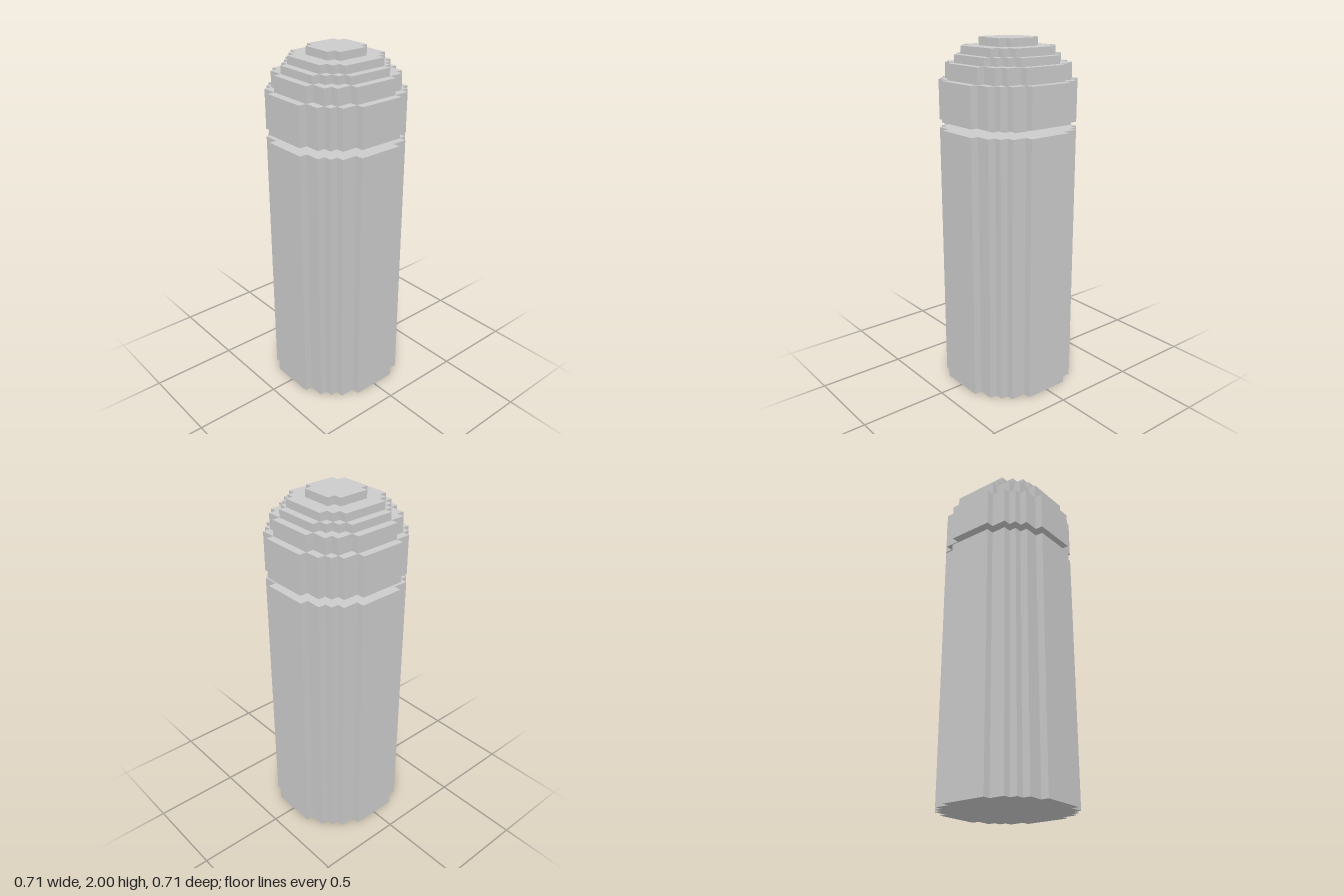
import * as THREE from 'three';

const UNIT = 2 / 45; // edge of one block; the model is 45 blocks tall

// Blocky disc outline: a circle of the given radius snapped to whole blocks
function discShape(radius) {
  const limit = (radius + 0.2) ** 2;
  const quarter = [];
  for (let row = 0; row < radius; row++) {
    let width = 0;
    while ((width + 0.5) ** 2 + (row + 0.5) ** 2 <= limit) width++;
    const last = quarter[quarter.length - 1];
    if (last && last[0] === width) last[1] = row + 1;
    else {
      if (last) quarter.push([width, row]);
      quarter.push([width, row + 1]);
    }
  }
  // Turn the quarter by 90 degrees four times; joints fall on straight edges
  const points = [];
  for (let turn = 0; turn < 4; turn++) {
    for (const [x, y] of quarter) {
      const [px, py] = [[x, y], [-y, x], [-x, -y], [y, -x]][turn];
      points.push(new THREE.Vector2(px * UNIT, py * UNIT));
    }
  }
  return new THREE.Shape(points);
}

export function createModel() {
  const group = new THREE.Group();
  const material = new THREE.MeshStandardMaterial({ color: 0xcccccc, flatShading: true });

  // Stacked layers from the ground up: name, radius and height in blocks
  const layers = [
    ['body', 8, 34],
    ['neck', 4, 1],
    ['headBand', 8, 5],
    ['domeLower', 7, 2],
    ['domeMiddle', 6, 1],
    ['domeUpper', 5, 1],
    ['domeCap', 3, 1],
  ];

  let base = 0;
  for (const [name, radius, height] of layers) {
    const geometry = new THREE.ExtrudeGeometry(discShape(radius), {
      depth: height * UNIT,
      bevelEnabled: false,
    });
    geometry.rotateX(-Math.PI / 2);
    const mesh = new THREE.Mesh(geometry, material);
    mesh.name = name;
    mesh.position.y = base * UNIT;
    group.add(mesh);
    base += height;
  }
  return group;
}
